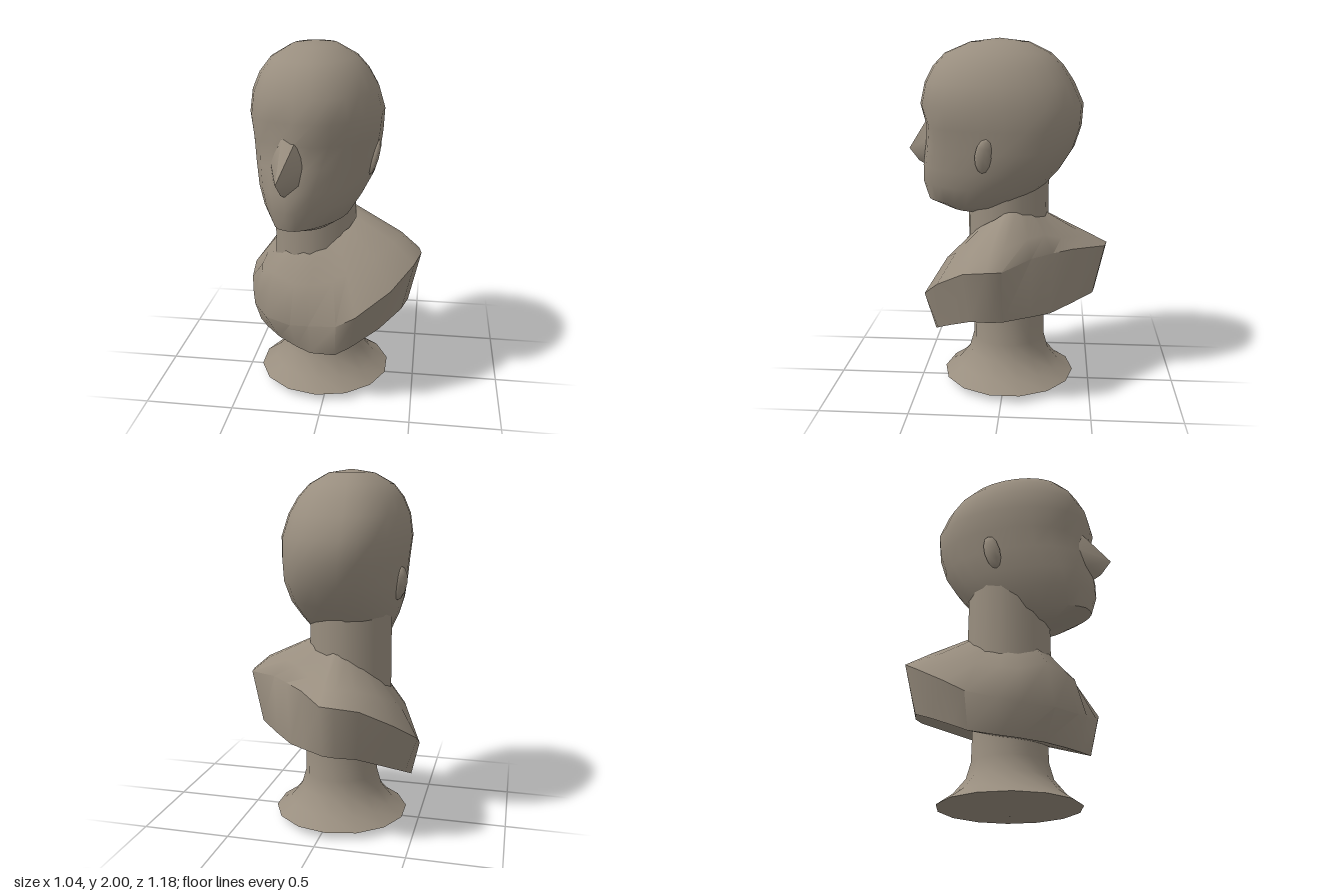
import * as THREE from 'three';
import { toCreasedNormals } from 'three/addons/utils/BufferGeometryUtils.js';
import { ConvexGeometry } from 'three/addons/geometries/ConvexGeometry.js';

// Skin between closed rings of [x, y, z] points, listed from bottom to top
function loft(rings, crease = 0.7) {
  const n = rings[0].length, index = [];
  for (let i = 0; i < rings.length - 1; i++) {
    for (let j = 0; j < n; j++) {
      const a = i * n + j, b = i * n + (j + 1) % n;
      index.push(a, b, b + n, a, b + n, a + n);
    }
  }
  const g = new THREE.BufferGeometry();
  g.setAttribute('position', new THREE.Float32BufferAttribute(rings.flat(2), 3));
  g.setIndex(index);
  return toCreasedNormals(g, crease);
}

// Egg-shaped head: each level is y, half width, back z, front z, narrowing of the face
function headGeometry() {
  const levels = [
    [1.02, 0, 0.2, 0.2, 0], [1.03, 0.12, 0.04, 0.33, 0.1], [1.075, 0.19, -0.12, 0.47, 0.25],
    [1.18, 0.25, -0.22, 0.5, 0.22], [1.28, 0.295, -0.31, 0.495, 0.18], [1.4, 0.325, -0.385, 0.47, 0.1],
    [1.52, 0.345, -0.42, 0.465, 0.03], [1.64, 0.36, -0.425, 0.475, 0], [1.76, 0.335, -0.37, 0.45, 0],
    [1.85, 0.29, -0.31, 0.405, 0], [1.92, 0.23, -0.24, 0.34, 0], [1.98, 0.125, -0.12, 0.2, 0], [2, 0, 0.04, 0.04, 0],
  ];
  const n = 24;
  return loft(levels.map(([y, w, back, front, narrow]) => {
    // the cranium is turned less than the face
    const untwist = 0.09 * THREE.MathUtils.smoothstep(y, 1.3, 1.65);
    return Array.from({ length: n }, (_, j) => {
      const t = j / n * Math.PI * 2, s = Math.sin(t), c = Math.cos(t);
      let x = w * Math.sign(s) * Math.abs(s) ** (s < 0 ? 0.75 : 0.95) * (1 - narrow * c);
      let z = (front + back) / 2 + (front - back) / 2 * c;
      // shallow eye sockets
      if (c > 0) z -= 0.025 * Math.exp(-(((Math.abs(x) - 0.14) / 0.07) ** 2) - ((y - 1.52) / 0.06) ** 2);
      x += untwist * z - 0.05 * Math.max(0, y - 1.6);
      return [x, y, z];
    });
  }));
}

// Cut chest and shoulders: columns around the neck, from breastbone to spine
function chestGeometry() {
  // angle, then radius and height of lower rim, upper rim, slope and neck root
  const half = [
    [0, 0.34, 0.31, 0.43, 0.47, 0.37, 0.73, 0.24, 0.9],
    [25, 0.36, 0.31, 0.43, 0.48, 0.38, 0.71, 0.23, 0.9],
    [40, 0.4, 0.31, 0.44, 0.5, 0.38, 0.72, 0.22, 0.9],
    [59, 0.45, 0.33, 0.495, 0.53, 0.38, 0.75, 0.21, 0.92],
    [70, 0.455, 0.37, 0.53, 0.59, 0.39, 0.79, 0.21, 0.94],
    [92, 0.47, 0.45, 0.555, 0.71, 0.42, 0.86, 0.21, 0.98],
    [112, 0.5, 0.52, 0.57, 0.81, 0.44, 0.915, 0.2, 1.02],
    [125, 0.5, 0.53, 0.568, 0.83, 0.46, 0.92, 0.18, 1.05],
    [133, 0.48, 0.53, 0.545, 0.83, 0.44, 0.92, 0.17, 1.06],
    [155, 0.37, 0.51, 0.38, 0.85, 0.31, 0.94, 0.13, 1.08],
    [180, 0.33, 0.49, 0.35, 0.85, 0.28, 0.94, 0.12, 1.08],
  ];
  // the right shoulder slopes a little lower
  const mirrored = half.slice(1, -1).reverse().map(([a, r0, y0, r1, y1, r2, y2, r3, y3]) =>
    [360 - a, r0, y0, r1, y1 - 0.01, r2, y2 - 0.04, r3, y3 - 0.02]);
  const columns = [...half, ...mirrored];
  const ring = (k) => columns.map((col) => {
    const t = THREE.MathUtils.degToRad(col[0]);
    return [Math.sin(t) * col[k], col[k + 1], Math.cos(t) * col[k]];
  });
  return loft([columns.map(() => [0, 0.42, 0]), ring(1), ring(3), ring(5), ring(7)], 0.75);
}

export function createModel() {
  const model = new THREE.Group();
  model.name = 'bust';
  const stone = new THREE.MeshStandardMaterial({ color: 0x998e7f });
  stone.name = 'warm grey stone';
  const add = (parent, name, geometry, x = 0, y = 0, z = 0) => {
    const mesh = new THREE.Mesh(geometry, stone);
    mesh.name = name;
    mesh.position.set(x, y, z);
    parent.add(mesh);
    return mesh;
  };

  // Flared foot and stem
  const profile = [[0, 0], [0.385, 0.04], [0.3, 0.1], [0.235, 0.18], [0.21, 0.27], [0.205, 0.52]]
    .map(([r, y]) => new THREE.Vector2(r, y));
  add(model, 'pedestal', toCreasedNormals(new THREE.LatheGeometry(profile, 14), 0.75), -0.04, 0, -0.02);

  // Chest turned away from the face
  const chest = add(model, 'chest', chestGeometry(), -0.035, 0, -0.035);
  chest.rotation.y = -Math.PI / 4;

  add(model, 'neck', new THREE.CylinderGeometry(0.232, 0.235, 0.56, 16, 1, true), -0.092, 1.04, -0.015);

  // Head with nose and ears
  const head = new THREE.Group();
  head.name = 'head';
  head.position.set(-0.055, 0, 0);
  head.rotation.y = -0.24;
  model.add(head);
  add(head, 'skull', headGeometry());
  const nose = [[-0.03, 1.56, 0.45], [0.05, 1.56, 0.45], [-0.01, 1.45, 0.52], [0.02, 1.45, 0.52],
    [0, 1.36, 0.6], [-0.07, 1.33, 0.47], [0.07, 1.33, 0.47], [0, 1.29, 0.54], [0, 1.26, 0.48],
    [-0.1, 1.43, 0.44], [0.09, 1.43, 0.44], [0, 1.4, 0.42]];
  const noseShape = new ConvexGeometry(nose.map((p) => new THREE.Vector3(...p)));
  add(head, 'nose', toCreasedNormals(noseShape, 0.9));
  for (const side of [-1, 1]) {
    const ear = add(head, side < 0 ? 'rightEar' : 'leftEar', new THREE.SphereGeometry(1, 8, 6),
      side * 0.318, 1.39, 0.02);
    ear.scale.set(side < 0 ? 0.04 : 0.025, 0.1, 0.05);
    ear.rotation.set(-0.15, side * 0.25, -side * 0.2);
  }
  return model;
}
